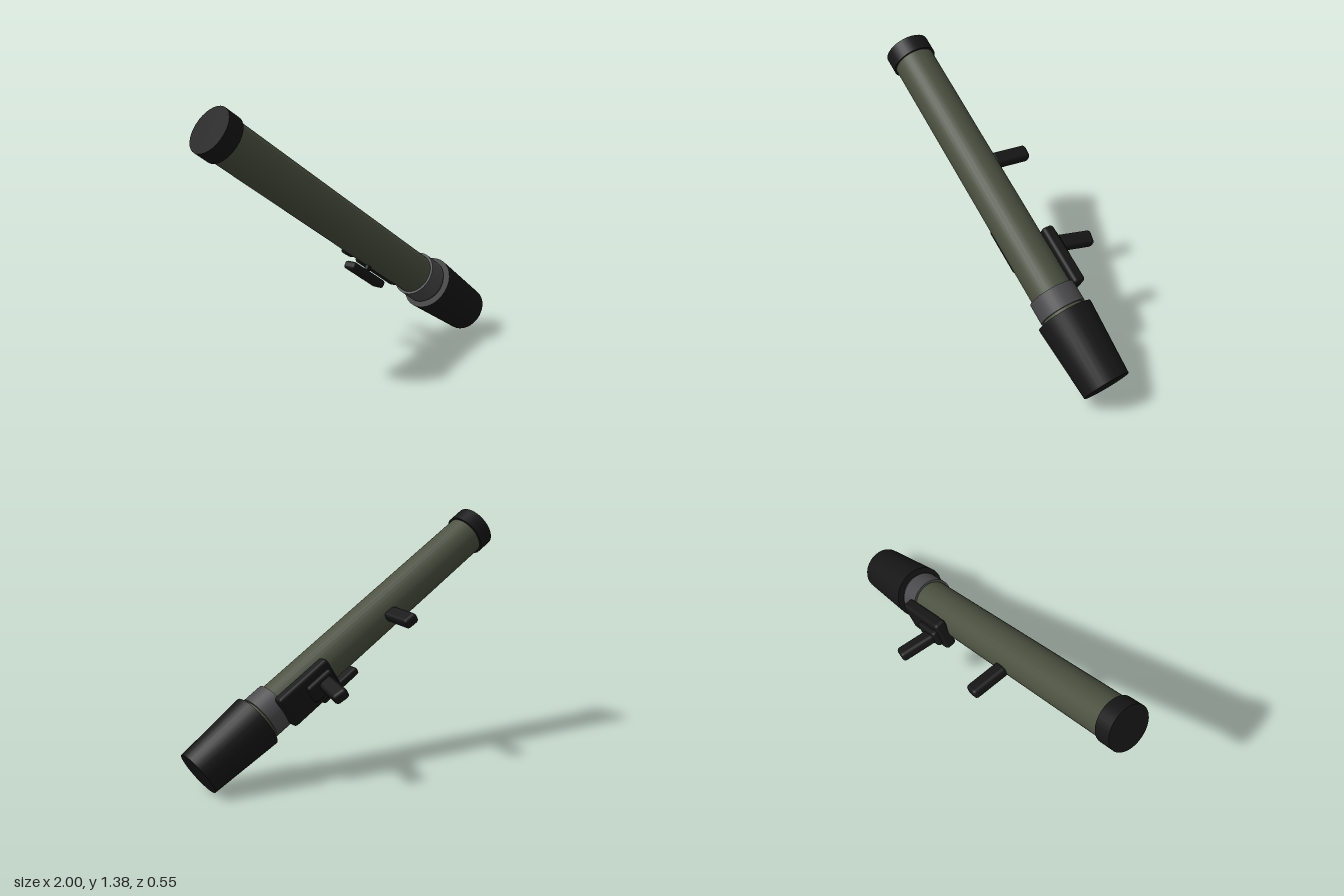
import * as THREE from 'three';
import { RoundedBoxGeometry } from 'three/addons/geometries/RoundedBoxGeometry.js';

const olive = new THREE.MeshStandardMaterial({ color: 0x4b5040 });
const black = new THREE.MeshStandardMaterial({ color: 0x161616 });
const grey = new THREE.MeshStandardMaterial({ color: 0x4a4a4c });

export function createModel() {
  const model = new THREE.Group();
  model.name = 'shoulderTube';

  // Everything is laid out along local x, then the whole body is tipped nose-down
  const body = new THREE.Group();
  body.name = 'body';
  body.rotation.z = THREE.MathUtils.degToRad(-32);
  body.position.set(0, 0.693, 0.12);
  model.add(body);

  // Round section from x0 to x1, with a radius at each end
  function section(name, material, x0, x1, r0, r1 = r0) {
    const geometry = new THREE.CylinderGeometry(r1, r0, x1 - x0, 32);
    geometry.rotateZ(-Math.PI / 2);
    const mesh = new THREE.Mesh(geometry, material);
    mesh.name = name;
    mesh.position.x = (x0 + x1) / 2;
    body.add(mesh);
  }

  // Softened block, optionally leaning towards the nose
  function block(name, size, position, bevel, lean = 0) {
    const mesh = new THREE.Mesh(new RoundedBoxGeometry(...size, 2, bevel), black);
    mesh.name = name;
    mesh.position.set(...position);
    mesh.rotation.y = -THREE.MathUtils.degToRad(lean);
    body.add(mesh);
  }

  // Tube, end cap, collar and tapered nose
  section('mainTube', olive, -1.09, 0.7, 0.115);
  section('rearCap', black, -1.098, -1.005, 0.127);
  section('collar', grey, 0.55, 0.665, 0.129);
  section('noseCone', black, 0.686, 1.098, 0.155, 0.13);

  // Shoulder rest on a short stem under the tube
  block('shoulderRest', [0.275, 0.045, 0.08], [0.187, -0.167, 0], 0.015);
  block('restStem', [0.025, 0.06, 0.025], [0.19, -0.125, 0], 0.003);

  // Side mount with its stepped plate and the two grips
  block('mountPlate', [0.35, 0.19, 0.07], [0.404, 0.003, -0.133], 0.02);
  block('gripPlate', [0.17, 0.105, 0.05], [0.335, 0, -0.172], 0.018);
  block('mainGrip', [0.085, 0.06, 0.225], [0.335, 0, -0.28], 0.02, 13);
  block('frontGrip', [0.085, 0.06, 0.22], [-0.253, 0.005, -0.21], 0.02, 5);

  return model;
}
